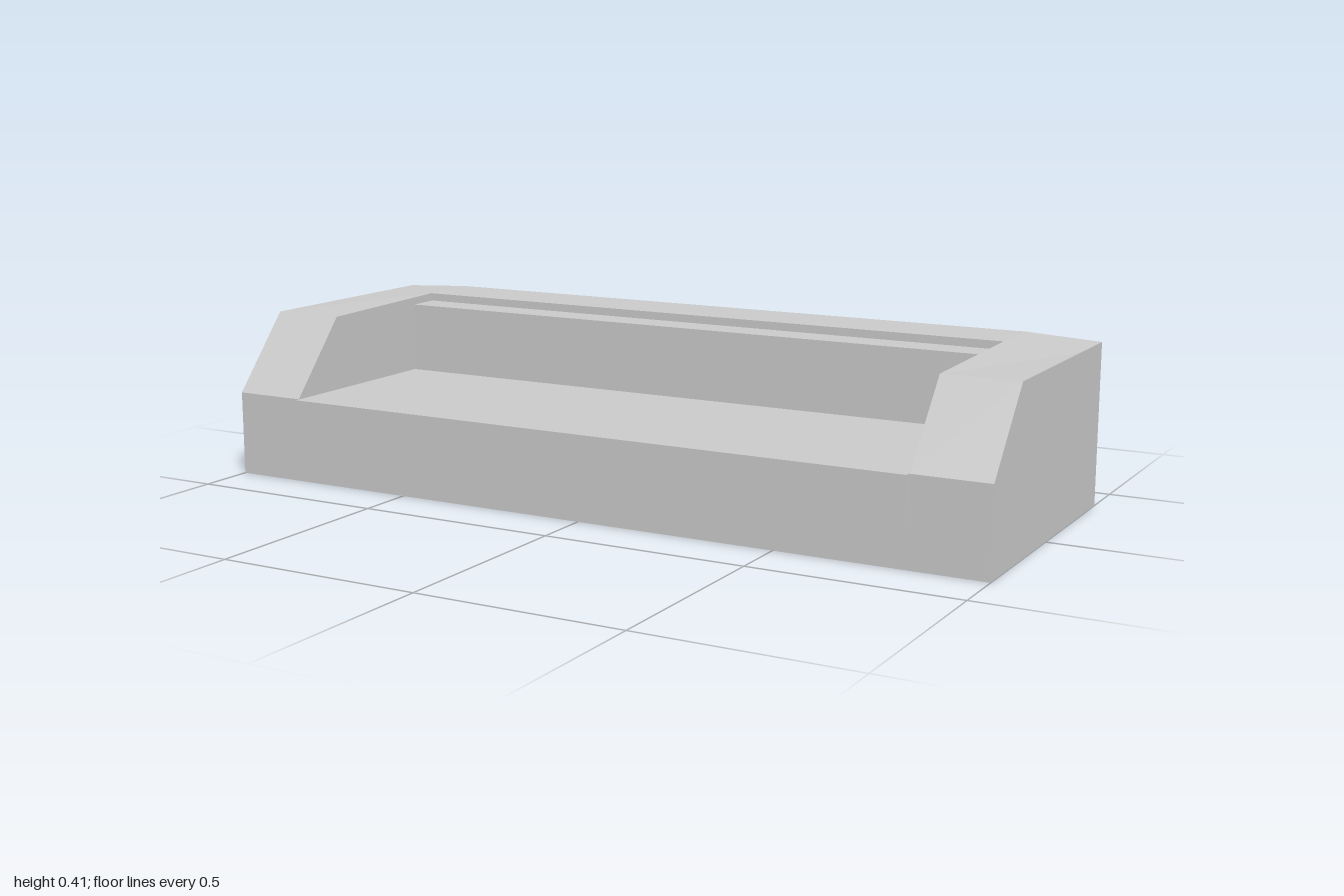
import * as THREE from 'three';

const INNER = 0.815;   // inner face of the arms
const BACK = -0.373, BACK_INNER = -0.21, FRONT = 0.36;
const ARM_TOP = 0.397, BACK_TOP = 0.407;

const material = new THREE.MeshStandardMaterial({ color: 0xcccccc, flatShading: true });

function addMesh(group, name, geometry) {
  const mesh = new THREE.Mesh(geometry, material);
  mesh.name = name;
  group.add(mesh);
}

// Box given by its extents, centred on x = 0
function block(halfWidth, y0, y1, z0, z1) {
  return new THREE.BoxGeometry(2 * halfWidth, y1 - y0, z1 - z0)
    .translate(0, (y0 + y1) / 2, (z0 + z1) / 2);
}

// Side profile with a sloped front, its inner top edge rising gently to the back
function armGeometry(side) {
  const profile = [[FRONT, 0], [FRONT, 0.21], [0.2, ARM_TOP], [BACK_INNER, ARM_TOP], [BACK, ARM_TOP], [BACK, 0]];
  const shape = new THREE.Shape(profile.map(([z, y]) => new THREE.Vector2(-z, y)));
  const geometry = new THREE.ExtrudeGeometry(shape, { depth: 1 - INNER, bevelEnabled: false });
  geometry.rotateY(Math.PI / 2).translate(side > 0 ? INNER : -1, 0, 0);

  const p = geometry.attributes.position;
  for (let i = 0; i < p.count; i++) {
    if (Math.abs(p.getX(i)) < 0.9 && p.getY(i) > ARM_TOP - 0.01) {
      const t = THREE.MathUtils.clamp((0.2 - p.getZ(i)) / (0.2 - BACK_INNER), 0, 1);
      p.setY(i, THREE.MathUtils.lerp(ARM_TOP, BACK_TOP, t));
    }
  }
  geometry.computeVertexNormals();
  return geometry;
}

export function createModel() {
  const sofa = new THREE.Group();
  sofa.name = 'sofa';

  // Frame
  addMesh(sofa, 'leftArm', armGeometry(1));
  addMesh(sofa, 'rightArm', armGeometry(-1));
  addMesh(sofa, 'backrest', block(INNER, 0, BACK_TOP, BACK, BACK_INNER));
  addMesh(sofa, 'base', block(INNER, 0, 0.15, BACK_INNER, FRONT));

  // Cushions
  addMesh(sofa, 'seatCushion', block(0.813, 0.095, 0.21, BACK_INNER, 0.373));
  addMesh(sofa, 'backCushion', block(0.811, 0.2, 0.387, BACK_INNER, -0.125));

  return sofa;
}
